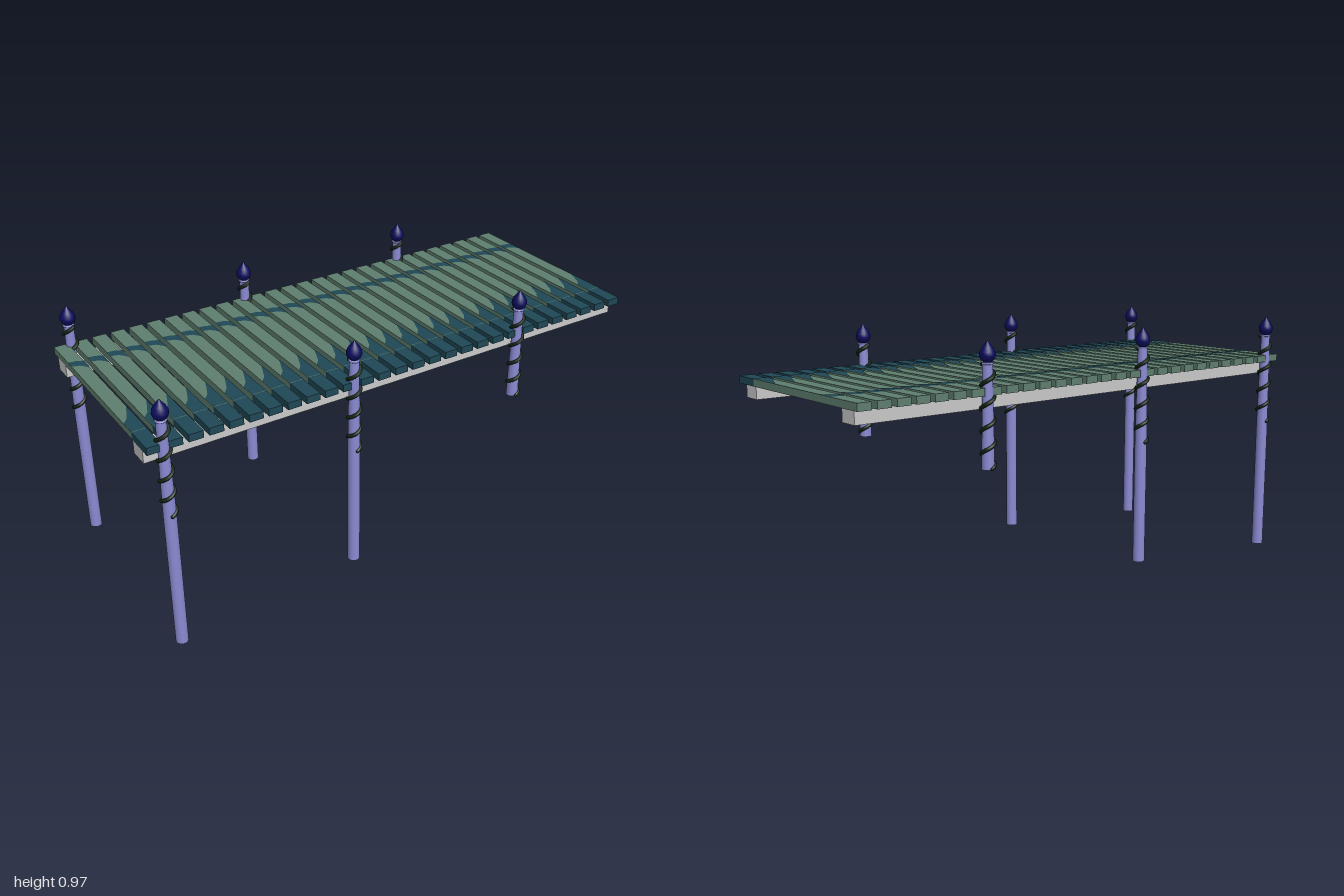
import * as THREE from 'three';

const mat = (name, color, side = THREE.FrontSide) => {
  const m = new THREE.MeshStandardMaterial({ color, side });
  m.name = name;
  return m;
};

export function createModel() {
  const green = mat('plank green', 0x5f7f6f);
  const teal = mat('wet teal', 0x204856);
  const grey = mat('beam grey', 0xcacaca);
  const lilac = mat('post lilac', 0x8a8ad2);
  const navy = mat('finial navy', 0x0c0c60);
  const vineGreen = mat('vine green', 0x0f2210);

  const model = new THREE.Group();
  model.name = 'pier';
  const add = (parent, name, geometry, material, x = 0, y = 0, z = 0) => {
    const mesh = new THREE.Mesh(geometry, material);
    mesh.name = name;
    mesh.position.set(x, y, z);
    parent.add(mesh);
    return mesh;
  };

  // Deck planks: green body, teal front end, thin teal stains on top
  const count = 28, width = 0.052, low = 0.786, high = 0.813;
  const back = -0.403, split = 0.285, front = 0.397;
  const thick = high - low, midY = (low + high) / 2;
  const body = new THREE.BoxGeometry(width, thick, split - back);
  const end = new THREE.BoxGeometry(width, thick, front - split);
  // stain outline: [fraction across the plank, z]
  const stain = (points) => {
    const shape = new THREE.Shape(points.map(([u, z]) => new THREE.Vector2((u - 0.5) * width, -z)));
    return new THREE.ShapeGeometry(shape).rotateX(-Math.PI / 2);
  };
  const frontStain = stain([[0, split], [1, split], [1, 0.12], [0.75, 0.155], [0.4, 0.2], [0, 0.225]]);
  const backStain = stain([[0, -0.225], [0.5, -0.218], [0.8, -0.2], [1, -0.182], [1, -0.245], [0.5, -0.257], [0, -0.26]]);
  for (let i = 0; i < count; i++) {
    const plank = new THREE.Group();
    plank.name = 'plank';
    plank.position.x = -1 + width / 2 + (i * (2 - width)) / (count - 1);
    add(plank, 'plankBody', body, green, 0, midY, (back + split) / 2);
    add(plank, 'plankFrontEnd', end, teal, 0, midY, (split + front) / 2);
    add(plank, 'frontStain', frontStain, teal, 0, high + 0.0015, 0);
    add(plank, 'backStain', backStain, teal, 0, high + 0.0015, 0);
    model.add(plank);
  }

  // Two long beams under the deck
  const beam = new THREE.BoxGeometry(1.99, 0.049, 0.074);
  add(model, 'frontBeam', beam, grey, -0.005, 0.7625, 0.325);
  add(model, 'backBeam', beam, grey, -0.005, 0.7625, -0.332);

  // Vine: a rising helix with capped ends
  const vineLow = 0.539, vineHigh = 0.888, pitch = 0.0765, vineR = 0.007;
  const points = [];
  for (let i = 0; i <= 80; i++) {
    const t = i / 80;
    const a = Math.PI / 2 - ((vineHigh - vineLow) * t / pitch) * Math.PI * 2;
    const r = 0.0225 - 0.001 * t;
    points.push(new THREE.Vector3(Math.cos(a) * r, vineLow + (vineHigh - vineLow) * t, Math.sin(a) * r));
  }
  const vine = new THREE.TubeGeometry(new THREE.CatmullRomCurve3(points), 160, vineR, 8);
  const vineTip = new THREE.SphereGeometry(vineR, 8, 6);

  // Finial: pointed teardrop
  const finial = new THREE.LatheGeometry(
    [[0, 0.894], [0.014, 0.896], [0.023, 0.904], [0.028, 0.917], [0.0265, 0.93],
      [0.019, 0.944], [0.009, 0.956], [0, 0.968]].map(([r, y]) => new THREE.Vector2(r, y)), 20);
  const collar = new THREE.TorusGeometry(0.0165, 0.004, 8, 24).rotateX(Math.PI / 2);

  // Posts stand on a sloping bed, so each has its own foot height
  const taperLow = 0.535, postTop = 0.895;
  const upper = new THREE.CylinderGeometry(0.0175, 0.0225, postTop - taperLow, 24);
  const addPost = (x, z, foot) => {
    const post = new THREE.Group();
    post.name = 'post';
    post.position.set(x, 0, z);
    post.rotation.y = z > 0 ? 0 : Math.PI;
    if (foot < taperLow) {
      const shaft = new THREE.CylinderGeometry(0.0225, 0.0225, taperLow - foot, 24);
      add(post, 'lowerShaft', shaft, lilac, 0, (taperLow + foot) / 2, 0);
    }
    add(post, 'upperShaft', upper, lilac, 0, (postTop + taperLow) / 2, 0);
    add(post, 'collar', collar, lilac, 0, 0.892, 0);
    add(post, 'finial', finial, navy);
    add(post, 'vine', vine, vineGreen);
    for (const p of [points[0], points[80]]) add(post, 'vineTip', vineTip, vineGreen, p.x, p.y, p.z);
    model.add(post);
  };
  for (const [x, frontFoot, backFoot] of [[-0.94, 0, 0.015], [-0.23, 0.056, 0.075], [0.492, 0.535, 0.535]]) {
    addPost(x, 0.388, frontFoot);
    addPost(x, -0.388, backFoot);
  }
  return model;
}
